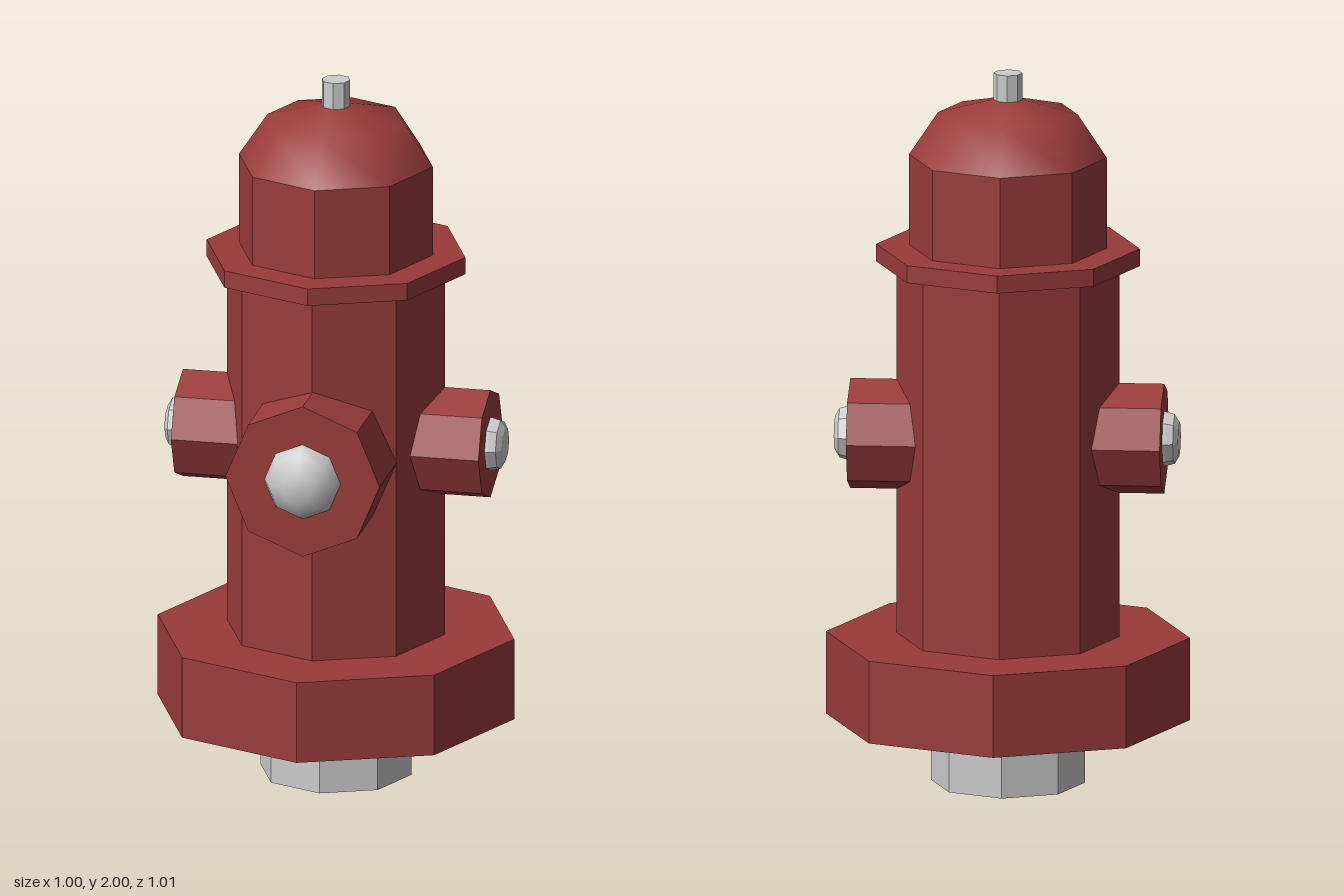
import * as THREE from 'three';

const SIDES = 8;
const OUTLET_Y = 0.975;
const red = new THREE.MeshStandardMaterial({ color: 0x9a3b3b, flatShading: true });
const redSmooth = new THREE.MeshStandardMaterial({ color: 0x9a3b3b });
const grey = new THREE.MeshStandardMaterial({ color: 0xcccccc, flatShading: true });
const greySmooth = new THREE.MeshStandardMaterial({ color: 0xcccccc });

// Octagonal prism along y, from y0 to y1
function prism(name, radius, y0, y1, material) {
  const geometry = new THREE.CylinderGeometry(radius, radius, y1 - y0, SIDES);
  geometry.translate(0, (y0 + y1) / 2, 0);
  const mesh = new THREE.Mesh(geometry, material);
  mesh.name = name;
  return mesh;
}

// Octagonal turned shape along y, from [radius, y] pairs listed upwards
function turned(name, profile, material) {
  const points = profile.map(([r, y]) => new THREE.Vector2(r, y));
  const mesh = new THREE.Mesh(new THREE.LatheGeometry(points, SIDES), material);
  mesh.name = name;
  return mesh;
}

// Outlet barrel with a rounded bolt on its end, built along +y
function outlet(name, radius, boltProfile, boltMaterial) {
  const group = new THREE.Group();
  group.name = name;
  group.add(
    prism(name + 'Barrel', radius, 0.1, 0.433, red),
    turned(name + 'Bolt', boltProfile, boltMaterial)
  );
  group.position.y = OUTLET_Y;
  return group;
}

export function createModel() {
  const model = new THREE.Group();
  model.name = 'hydrant';

  // Upright column, bottom to top
  const column = new THREE.Group();
  column.name = 'column';
  column.add(
    prism('groundPipe', 0.212, 0, 0.2, grey),
    prism('baseFlange', 0.502, 0.182, 0.414, red),
    prism('barrel', 0.307, 0.4, 1.47, red),
    prism('collar', 0.364, 1.461, 1.51, red),
    prism('bonnet', 0.273, 1.5, 1.765, red),
    prism('topStem', 0.04, 1.9, 2, grey)
  );

  // Flattened half-sphere dome
  const dome = [0, 1, 2].map((i) => {
    const a = (i * Math.PI) / 4;
    return [i === 2 ? 0 : 0.273 * Math.cos(a), 1.765 + 0.17 * Math.sin(a)];
  });
  column.add(turned('dome', dome, redSmooth));
  column.position.set(-0.002, 0, -0.003);
  model.add(column);

  // Large front outlet
  const front = outlet('frontOutlet', 0.217,
    [[0.108, 0.425], [0.107, 0.435], [0.09, 0.475], [0.045, 0.505], [0, 0.505]], greySmooth);
  front.rotation.x = Math.PI / 2;
  model.add(front);

  // Smaller outlets on both sides
  for (const side of [1, -1]) {
    const arm = outlet(side > 0 ? 'leftOutlet' : 'rightOutlet', 0.155,
      [[0.078, 0.425], [0.076, 0.44], [0.07, 0.462], [0.048, 0.475], [0, 0.475]], grey);
    arm.rotation.z = (-side * Math.PI) / 2;
    arm.position.z = -0.003;
    model.add(arm);
  }
  return model;
}
